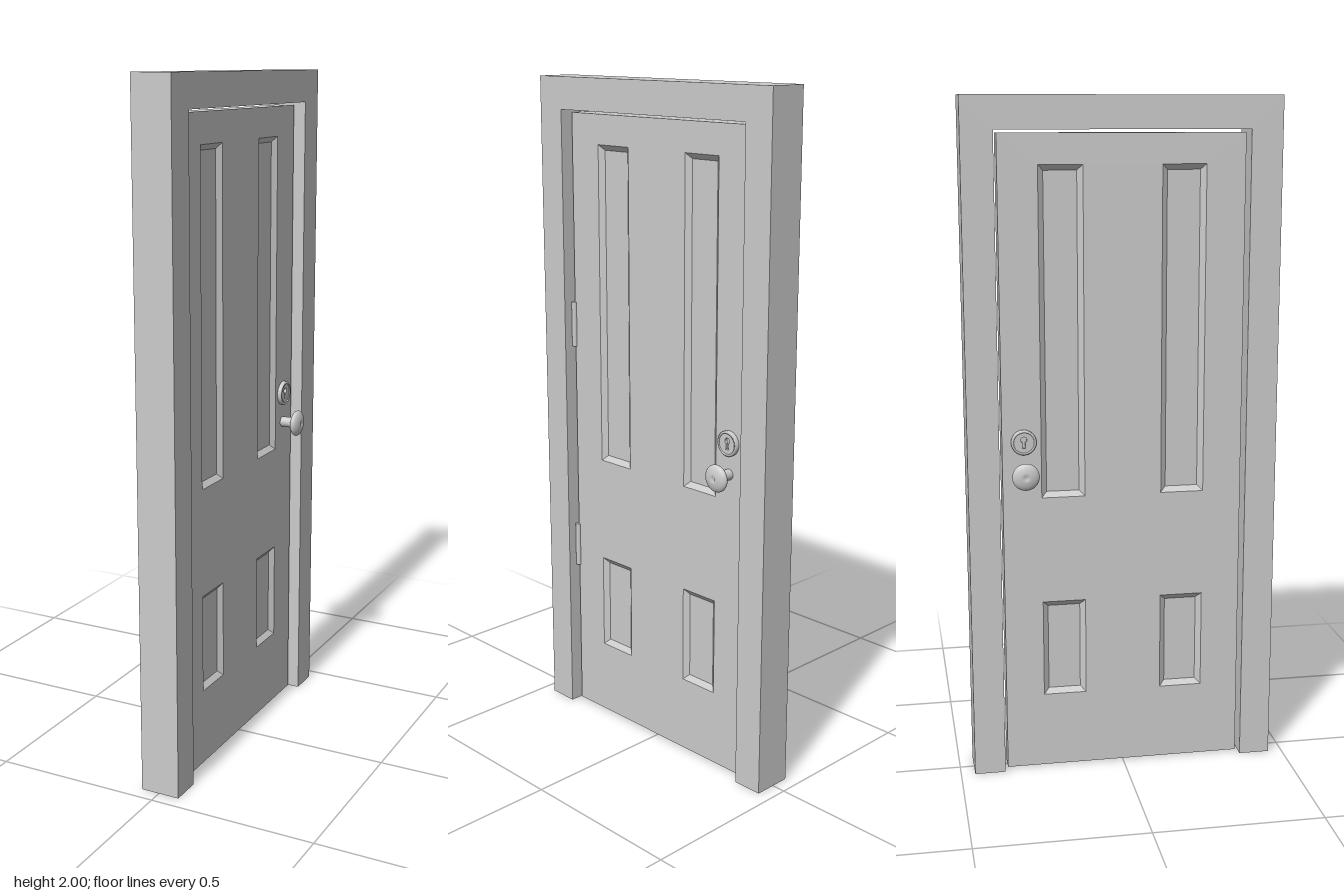
import * as THREE from 'three';

const material = new THREE.MeshStandardMaterial({ color: 0xcccccc });

function add(parent, name, geometry, x = 0, y = 0, z = 0) {
  const mesh = new THREE.Mesh(geometry, material);
  mesh.name = name;
  mesh.position.set(x, y, z);
  parent.add(mesh);
  return mesh;
}

function rectPath(PathType, x0, y0, x1, y1) {
  const p = new PathType();
  p.moveTo(x0, y0);
  p.lineTo(x1, y0);
  p.lineTo(x1, y1);
  p.lineTo(x0, y1);
  p.closePath();
  return p;
}

function extrude(shape, depth, curveSegments = 24) {
  return new THREE.ExtrudeGeometry(shape, { depth, bevelEnabled: false, curveSegments });
}

// Sunk panel: four sloped mouldings running down to a flat field
function panelGeometry(w, h, bevel, sink) {
  const ring = (a, b, z) => [[-a, -b, z], [a, -b, z], [a, b, z], [-a, b, z]];
  const outer = ring(w / 2, h / 2, 0);
  const inner = ring(w / 2 - bevel, h / 2 - bevel, -sink);
  const pos = [];
  const quad = (a, b, c, d) => pos.push(...a, ...b, ...c, ...a, ...c, ...d);
  for (let i = 0; i < 4; i++) {
    const j = (i + 1) % 4;
    quad(outer[i], outer[j], inner[j], inner[i]);
  }
  quad(...inner);
  const g = new THREE.BufferGeometry();
  g.setAttribute('position', new THREE.Float32BufferAttribute(pos, 3));
  g.computeVertexNormals();
  return g;
}

// Lathe profile [radius, distance from door], turned so its axis is +z
function turned(points, segments = 32) {
  const g = new THREE.LatheGeometry(points.map(([r, d]) => new THREE.Vector2(r, d)), segments);
  return g.rotateX(Math.PI / 2);
}

function knobGeometry() {
  const points = [];
  for (let i = 0; i <= 16; i++) {
    const a = -Math.PI / 2 + (i / 16) * Math.PI * 0.93;
    points.push([0.04 * Math.cos(a), 0.051 + 0.016 * Math.sin(a)]);
  }
  points.push([0.007, 0.064], [0, 0.064]);
  return turned(points);
}

function lockGeometry() {
  // Round plate pierced by a keyhole
  const plate = new THREE.Shape();
  plate.absarc(0, 0, 0.03, 0, Math.PI * 2, false);
  const hole = new THREE.Path();
  hole.absarc(0, 0.008, 0.009, -Math.PI * 0.35, Math.PI * 1.35, false);
  hole.lineTo(-0.005, -0.017);
  hole.lineTo(0.005, -0.017);
  hole.closePath();
  plate.holes.push(hole);
  return extrude(plate, 0.009);
}

export function createModel() {
  const model = new THREE.Group();
  model.name = 'door';

  // Worked facing +z, then turned to face +x
  const body = new THREE.Group();
  body.name = 'doorAndFrame';
  body.rotation.y = Math.PI / 2;
  model.add(body);

  // Frame: two posts and a head, open at the floor
  const frame = new THREE.Shape([
    [-0.458, 0], [-0.366, 0], [-0.366, 1.906], [0.366, 1.906],
    [0.366, 0], [0.458, 0], [0.458, 2], [-0.458, 2],
  ].map(([x, y]) => new THREE.Vector2(x, y)));
  add(body, 'frame', extrude(frame, 0.118), 0, 0, -0.055);

  // Door leaf with four panel openings
  const back = -0.032, front = 0.03, mid = (back + front) / 2, half = (front - back) / 2;
  const panels = [];
  for (const x of [-0.178, 0.178]) {
    panels.push({ x, y0: 0.85, y1: 1.81 }, { x, y0: 0.233, y1: 0.528 });
  }
  const panelWidth = 0.128;
  const leaf = rectPath(THREE.Shape, -0.356, 0.004, 0.356, 1.897);
  for (const p of panels) {
    leaf.holes.push(rectPath(THREE.Path, p.x - panelWidth / 2, p.y0, p.x + panelWidth / 2, p.y1));
  }
  add(body, 'doorLeaf', extrude(leaf, front - back), 0, 0, back);

  // Panels, knob and lock on both faces
  for (const side of [1, -1]) {
    const face = new THREE.Group();
    face.name = side > 0 ? 'frontFace' : 'backFace';
    face.position.z = mid;
    if (side < 0) face.rotation.y = Math.PI;
    body.add(face);

    for (const p of panels) {
      add(face, 'panel', panelGeometry(panelWidth, p.y1 - p.y0, 0.016, 0.013),
        p.x, (p.y0 + p.y1) / 2, half);
    }

    const x = 0.293 * side;
    add(face, 'knobShank', turned([[0.016, 0], [0.016, 0.045]]), x, 0.928, half);
    add(face, 'knob', knobGeometry(), x, 0.928, half);
    add(face, 'lockRim', turned([[0.037, 0], [0.037, 0.009], [0.034, 0.012], [0.03, 0.012], [0.03, 0.006]]),
      x, 1.02, half);
    add(face, 'lockPlate', lockGeometry(), x, 1.02, half);
  }

  // Hinge barrels on the front, across the gap
  for (const y of [0.543, 1.262]) {
    add(body, 'hinge', new THREE.CylinderGeometry(0.009, 0.009, 0.138, 16), -0.359, y, front);
  }

  return model;
}
